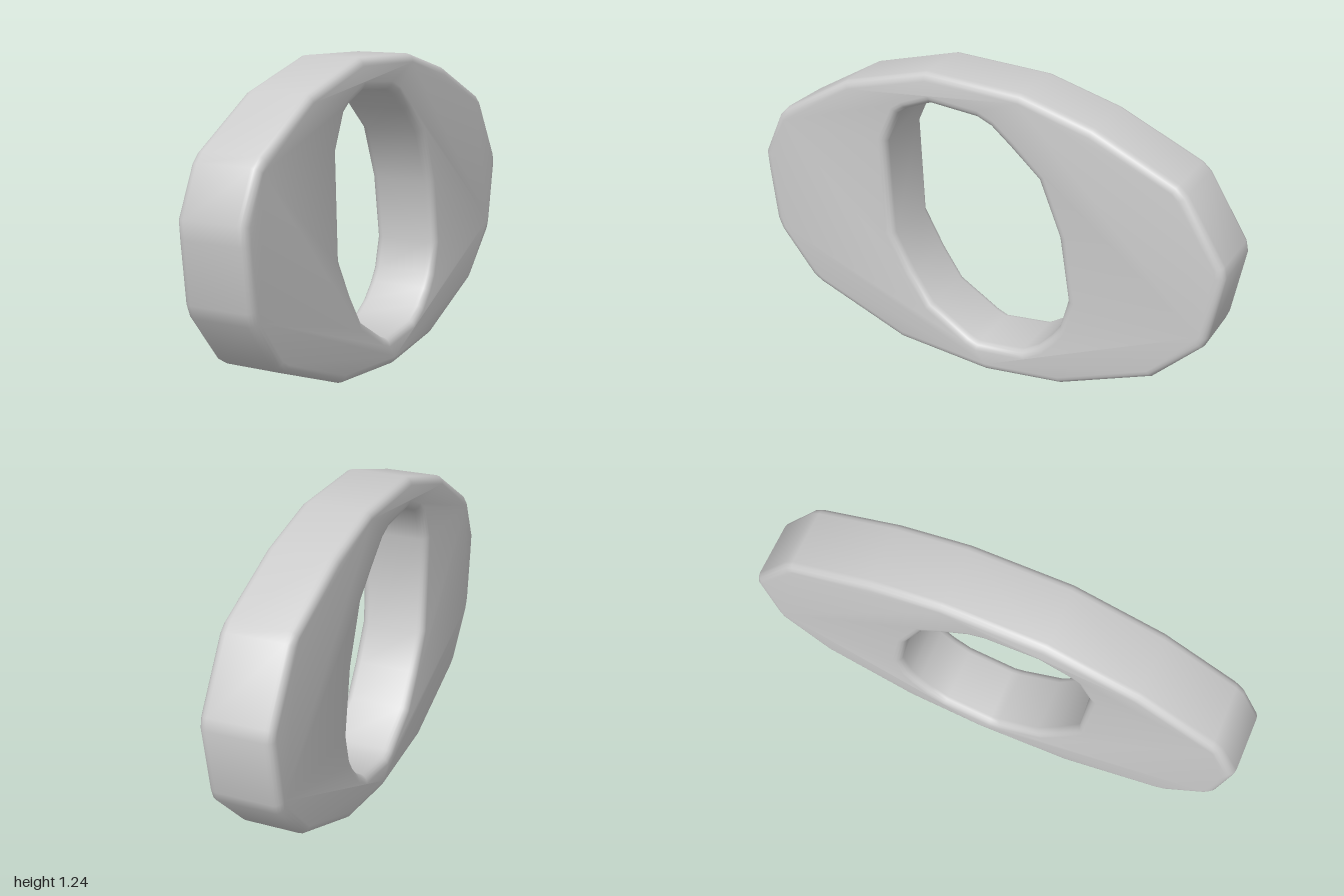
import * as THREE from 'three';
import { toCreasedNormals } from 'three/addons/utils/BufferGeometryUtils.js';

// Outlines as [z, y] pairs
const OUTER = [
  [1, 0.75], [0.995, 0.68], [0.97, 0.45], [0.95, 0.4], [0.8, 0.215], [0.76, 0.19],
  [0.36, 0.037], [-0.04, 0.003], [-0.37, 0.045], [-0.75, 0.2], [-0.94, 0.39], [-0.955, 0.43],
  [-1, 0.69], [-0.99, 0.735], [-0.835, 0.98], [-0.8, 1.01], [-0.47, 1.155],
  [-0.18, 1.23], [0.22, 1.242], [0.58, 1.14], [0.88, 0.965], [0.915, 0.93],
];
const INNER = [
  [0.2, 1.12], [0.0, 1.105], [-0.06, 1.08], [-0.14, 1.015], [-0.26, 0.91], [-0.35, 0.69], [-0.392, 0.43],
  [-0.36, 0.305], [-0.325, 0.25], [-0.27, 0.19], [-0.2, 0.145], [0.0, 0.12], [0.04, 0.135],
  [0.215, 0.24], [0.3, 0.365], [0.385, 0.52], [0.403, 0.92], [0.345, 1.05], [0.31, 1.075],
];

const toPoints = (list) => list.map(([z, y]) => new THREE.Vector2(-z, y));

export function createModel() {
  const group = new THREE.Group();
  group.name = 'ovalRing';

  // Faceted oval plate with an off-round opening and soft rounded rims
  const shape = new THREE.Shape(toPoints(OUTER));
  shape.holes.push(new THREE.Path(toPoints(INNER)));
  const halfWidth = 0.14, bevel = 0.032;
  const plate = new THREE.ExtrudeGeometry(shape, {
    depth: 2 * (halfWidth - bevel),
    bevelThickness: bevel,
    bevelSize: bevel,
    bevelOffset: -bevel,
    bevelSegments: 4,
  });
  plate.translate(0, 0, bevel - halfWidth);
  plate.rotateY(Math.PI / 2); // thickness runs along x

  const ring = new THREE.Mesh(
    toCreasedNormals(plate, 1.0),
    new THREE.MeshStandardMaterial({ color: 0xcccccc }),
  );
  ring.name = 'ringPlate';

  // Centre the thickness on x = 0
  ring.geometry.computeBoundingBox();
  const { min, max } = ring.geometry.boundingBox;
  ring.position.x = -(min.x + max.x) / 2;
  group.add(ring);
  return group;
}
